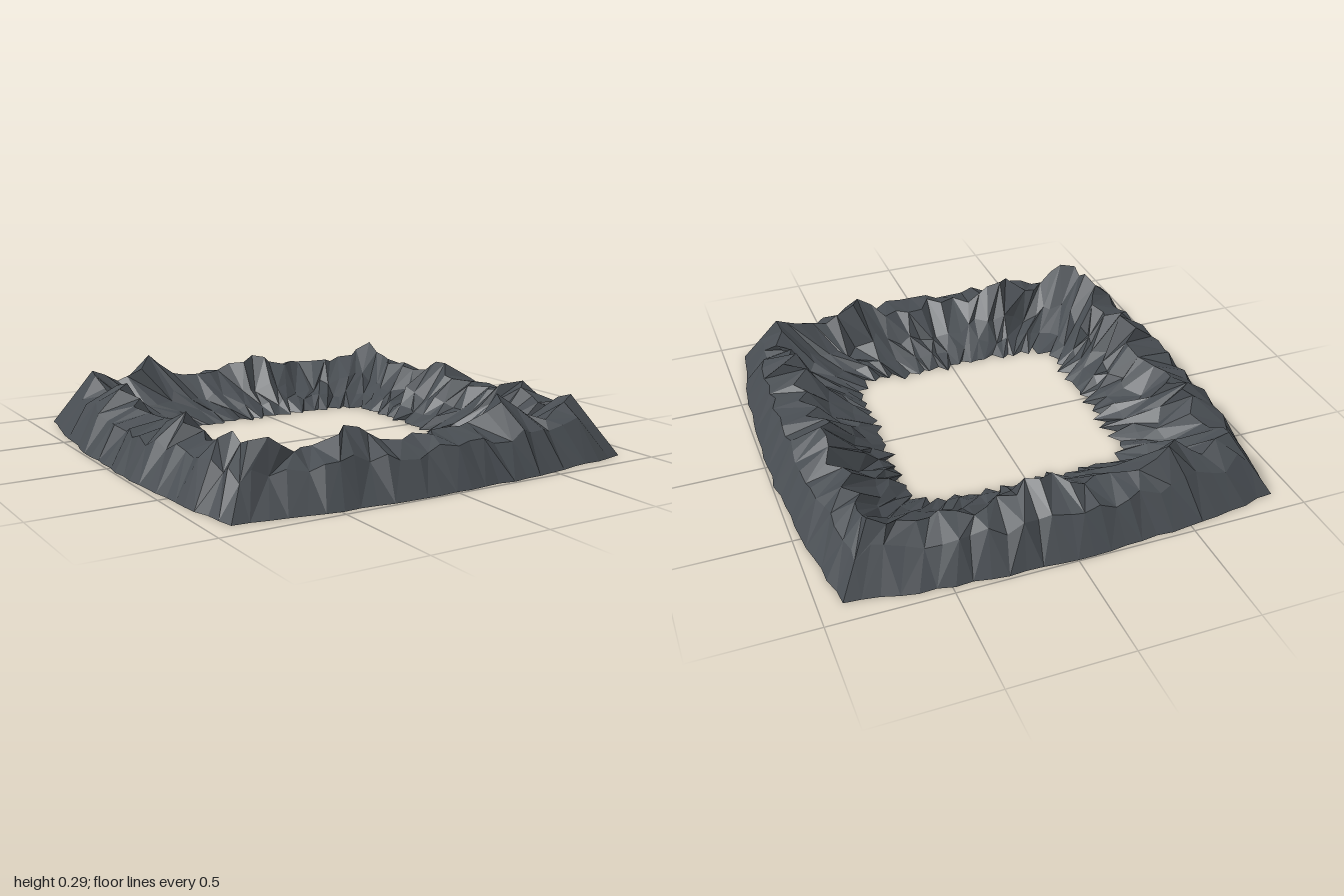
import * as THREE from 'three';

const COLUMNS = 26;

// Corner cross-section along the diagonal, from foot over crest to inner edge: [offset, height]
const CORNER = [[.905, 0], [.835, .12], [.76, .25], [.64, .12], [.53, .04], [.425, 0]];

// Each side: peaks along the crest as [position, height], and its place in the square
const SIDES = [
  { name: 'frontRidge', flip: false, place: (l, y, d) => [l, y, d], peaks: [[-.72, .27], [-.33, .27], [.38, .29], [.76, .25]] },
  { name: 'backRidge', flip: true, place: (l, y, d) => [l, y, -d], peaks: [[-.76, .27], [-.47, .29], [.06, .26], [.76, .24]] },
  { name: 'leftRidge', flip: true, place: (l, y, d) => [d, y, l], peaks: [[-.76, .24], [-.15, .26], [.42, .25], [.76, .25]] },
  { name: 'rightRidge', flip: false, place: (l, y, d) => [-d, y, l], peaks: [[-.76, .27], [-.4, .26], [.25, .25], [.65, .26]] },
];

// Small seeded generator, returns -1..1
function makeNoise(seed) {
  let s = seed;
  return () => {
    s = (s * 16807) % 2147483647;
    return (s / 2147483647) * 2 - 1;
  };
}

// Crest height: a low saddle with pointed peaks
function crestHeight(peaks, l) {
  const saddle = .18;
  return peaks.reduce((h, [p, top]) => Math.max(h, top - (top - saddle) * Math.abs(l - p) / .15), saddle);
}

// Cross-section of one side at column c
function crossSection(side, c, noise) {
  const t = (c / COLUMNS) * 2 - 1;
  if (c === 0 || c === COLUMNS) return CORNER.map(([d, y]) => side.place(d * Math.sign(t), y, d));

  const lateral = (row, jitter) => CORNER[row][0] * t + noise() * jitter;
  const fade = Math.min(1, (1 - Math.abs(t)) * 5);
  const foot = .905 + .085 * (1 - t * t) + noise() * .008;
  const crestAt = lateral(2, .012);
  const crest = crestHeight(side.peaks, crestAt) + noise() * .01;
  // Ragged teeth along the inner edge, reaching out into square notches at the corners
  const edge = THREE.MathUtils.clamp(lateral(5, .012) * 1.07, -.425, .425);
  const tooth = (c % 2 ? .495 : .462) + noise() * .02;

  return [
    [lateral(0, 0), 0, foot],
    [lateral(1, .012), Math.min(crest - .02, .15 + noise() * .025), foot - .09 + noise() * .015],
    [crestAt, crest, .765 + noise() * .05 * fade],
    [lateral(3, .02), crest * .46 + noise() * .03, .645 + noise() * .035 * fade],
    [lateral(4, .015), .045 + noise() * .015, .555 + noise() * .015 * fade],
    [edge, 0, tooth],
  ].map(([l, y, d]) => side.place(l, y, d));
}

// Joins the cross-sections into flat facets with alternating diagonals
function ridgeGeometry(side, seed) {
  const noise = makeNoise(seed);
  const sections = Array.from({ length: COLUMNS + 1 }, (_, c) => crossSection(side, c, noise));
  const positions = [];
  const tri = (a, b, c) => positions.push(...a, ...(side.flip ? c : b), ...(side.flip ? b : c));
  for (let c = 0; c < COLUMNS; c++) {
    for (let r = 0; r < CORNER.length - 1; r++) {
      const a = sections[c][r], b = sections[c + 1][r];
      const d = sections[c][r + 1], e = sections[c + 1][r + 1];
      if ((c + r) % 2) {
        tri(a, b, e);
        tri(a, e, d);
      } else {
        tri(a, b, d);
        tri(b, e, d);
      }
    }
  }
  const geometry = new THREE.BufferGeometry();
  geometry.setAttribute('position', new THREE.Float32BufferAttribute(positions, 3));
  geometry.computeVertexNormals();
  return geometry;
}

export function createModel() {
  const model = new THREE.Group();
  model.name = 'mountainRing';
  const rock = new THREE.MeshStandardMaterial({ color: 0x484d52, flatShading: true, side: THREE.DoubleSide });
  rock.name = 'slate rock';

  // Four hollow ridges meeting on the diagonals
  SIDES.forEach((side, i) => {
    const mesh = new THREE.Mesh(ridgeGeometry(side, 4211 + i * 977), rock);
    mesh.name = side.name;
    model.add(mesh);
  });
  return model;
}
